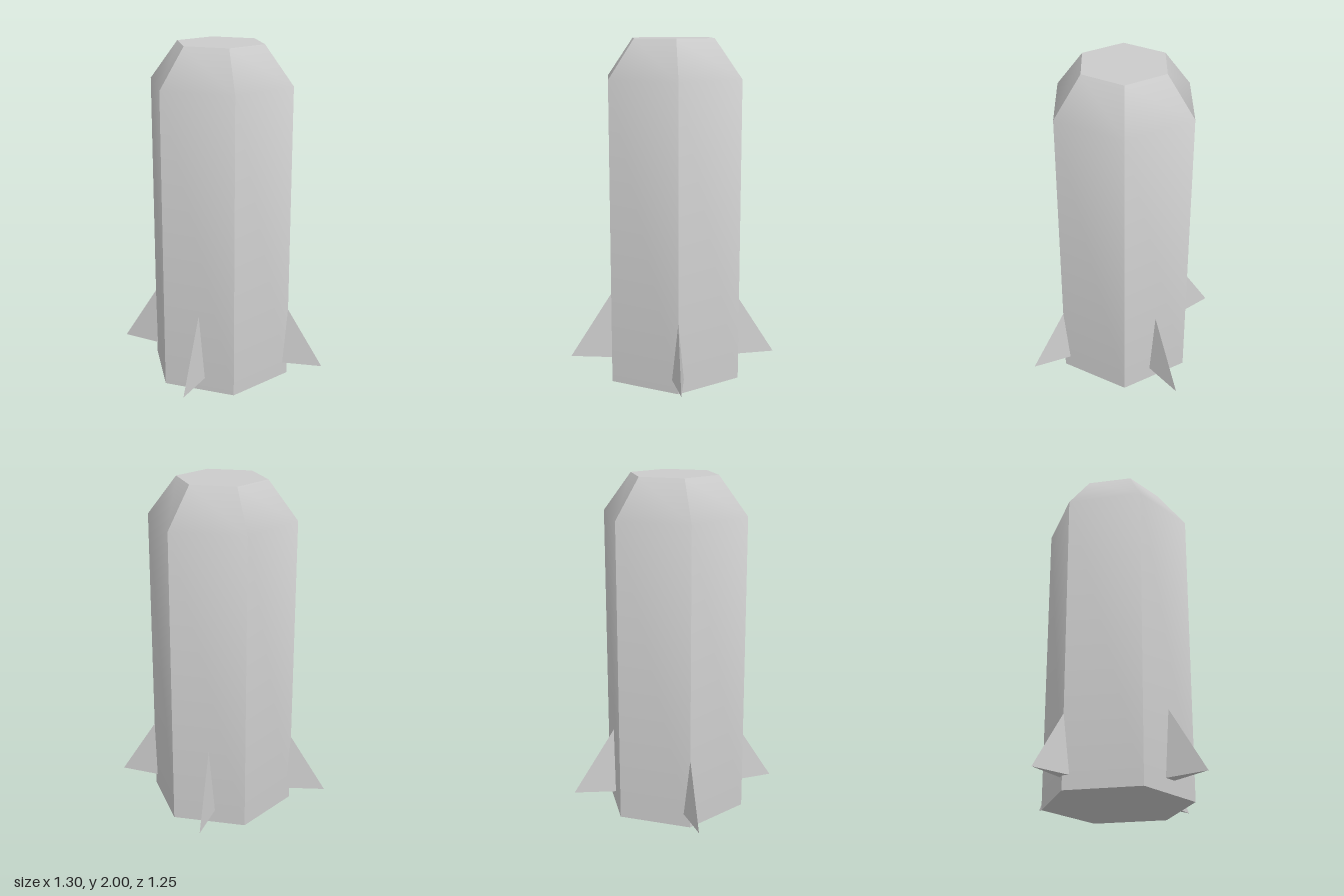
import * as THREE from 'three';
import { toCreasedNormals } from 'three/addons/utils/BufferGeometryUtils.js';

const SIDES = 6;

export function createModel() {
  const model = new THREE.Group();
  model.name = 'rocket';
  const grey = new THREE.MeshStandardMaterial({ color: 0xcccccc });
  const flatGrey = new THREE.MeshStandardMaterial({ color: 0xcccccc, flatShading: true });

  // Hexagonal body with a chamfered, flat-topped nose; corners point along x
  const profile = [[0, 0], [0.433, 0], [0.433, 1.775], [0.262, 2], [0, 2]]
    .map(([r, y]) => new THREE.Vector2(r, y));
  const bodyGeometry = new THREE.LatheGeometry(profile, SIDES, Math.PI / 2);
  const body = new THREE.Mesh(toCreasedNormals(bodyGeometry, 0.7), grey);
  body.name = 'body';
  model.add(body);

  // Thin four-sided pyramid fins, half sunk into the body
  const finHeight = 0.395;
  const finGeometry = new THREE.ConeGeometry(1, finHeight, 4);
  finGeometry.scale(0.036, 1, 0.25);
  finGeometry.translate(0, 0.08 + finHeight / 2, 0);

  const names = ['frontFin', 'leftFin', 'backFin', 'rightFin'];
  names.forEach((name, i) => {
    const angle = i * Math.PI / 2;
    const distance = i % 2 ? 0.4 : 0.375;
    const fin = new THREE.Mesh(finGeometry, flatGrey);
    fin.name = name;
    fin.rotation.y = angle;
    fin.position.set(Math.sin(angle) * distance, 0, Math.cos(angle) * distance);
    model.add(fin);
  });

  return model;
}
